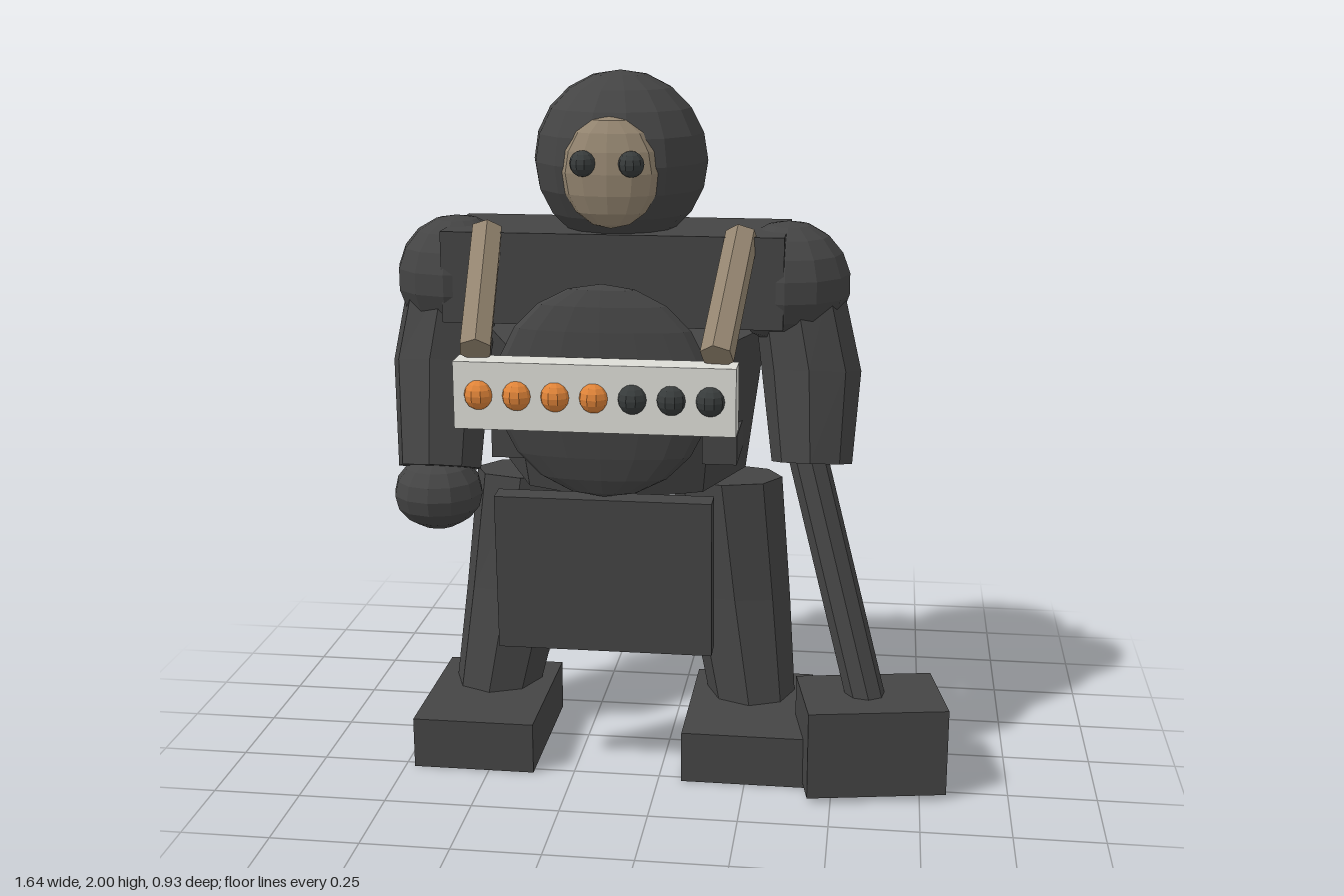
import * as THREE from 'three';

const CX = -0.15; // body symmetry plane

const mat = (name, color) => {
  const m = new THREE.MeshStandardMaterial({ color, flatShading: true });
  m.name = name;
  return m;
};

export function createModel() {
  const model = new THREE.Group();
  const iron = mat('iron grey', 0x444444);
  const dark = mat('dark glass', 0x383c3c);
  const tan = mat('tan leather', 0x948570);
  const pale = mat('pale grey', 0xdcdcd6);
  const orange = mat('orange', 0xe08439);

  const add = (name, geo, material, pos = [0, 0, 0], rot = [0, 0, 0]) => {
    const mesh = new THREE.Mesh(geo, material);
    mesh.name = name;
    mesh.position.set(...pos);
    mesh.rotation.set(...rot);
    model.add(mesh);
    return mesh;
  };
  const box = (name, size, pos, material = iron, rot) =>
    add(name, new THREE.BoxGeometry(...size), material, pos, rot);
  const ball = (name, radii, pos, material = iron, w = 14, h = 10) =>
    add(name, new THREE.SphereGeometry(1, w, h).scale(...radii), material, pos);

  // Straight rod between two points
  const rod = (name, a, b, r, material, sides = 6) => {
    const p = new THREE.Vector3(...a), q = new THREE.Vector3(...b);
    const dir = q.clone().sub(p);
    const mesh = add(name, new THREE.CylinderGeometry(r, r, dir.length(), sides), material);
    mesh.position.copy(p).add(q).multiplyScalar(0.5);
    mesh.quaternion.setFromUnitVectors(new THREE.Vector3(0, 1, 0), dir.normalize());
  };

  // Bent limb through rings [x, y, z, radius, rise toward the front], top to bottom
  const limb = (name, rings) => {
    const n = rings.length - 1;
    const geo = new THREE.CylinderGeometry(1, 1, 1, 8, n);
    const p = geo.attributes.position;
    for (let i = 0; i < p.count; i++) {
      const [x, y, z, r, rise] = rings[Math.round((0.5 - p.getY(i)) * n)];
      const dz = p.getZ(i) * r;
      p.setXYZ(i, x + p.getX(i) * r, y + dz * rise, z + dz);
    }
    geo.computeVertexNormals();
    add(name, geo, iron);
  };

  // Head and face
  ball('head', [0.25, 0.25, 0.25], [CX, 1.75, -0.08], iron, 14, 10);
  ball('face', [0.138, 0.155, 0.07], [CX, 1.735, 0.115], tan, 12, 8);

  // Torso: shoulder block, tapered lower body, round breastplate, hanging apron
  box('shoulderBlock', [0.97, 0.26, 0.36], [CX - 0.005, 1.43, -0.08]);
  add('lowerTorso', new THREE.CylinderGeometry(0.345, 0.295, 0.44, 8).scale(1.22, 1, 1),
    iron, [CX, 1.05, -0.125], [0.09, 0, 0]);
  ball('breastplate', [0.3, 0.3, 0.07], [CX, 1.155, 0.28], iron, 16, 10);
  box('apron', [0.61, 0.455, 0.065], [CX, 0.628, 0.27], iron, [0.045, 0, 0]);

  // Chest bar with a row of lamps
  box('chestBar', [0.76, 0.185, 0.085], [CX, 1.173, 0.392], pale);
  for (let i = 0; i < 7; i++)
    ball('lamp', [0.042, 0.042, 0.042], [CX + (i - 3) * 0.104, 1.175, 0.424],
      i < 4 ? orange : dark, 10, 8);

  // Paired parts
  for (const s of [-1, 1]) {
    const X = (d) => CX + s * d;
    ball('eye', [0.036, 0.036, 0.036], [X(0.067), 1.765, 0.177], dark, 10, 8);
    ball('shoulder', [0.178, 0.178, 0.185], [X(0.483), 1.405, -0.075], iron, 12, 9);
    limb('leg', [
      [X(0.3), 0.79, -0.19, 0.168, 0.1],
      [X(0.345), 0.43, -0.145, 0.155, 0.2],
      [X(0.395), 0.12, -0.07, 0.13, 0.2],
    ]);
    box('foot', [0.355, 0.15, 0.475], [X(0.395), 0.075, 0.037]);
    box('pouch', [0.1, 0.085, 0.4], [X(0.305), 0.95, -0.095]);

    // Harness straps: over the front, over the shoulder, crossing on the back
    rod('frontStrap', [X(0.36), 1.56, 0.07], [X(0.325), 1.29, 0.4], 0.047, tan);
    rod('shoulderStrap', [X(0.35), 1.47, -0.22], [X(0.35), 1.41, -0.375], 0.042, tan);
    rod('backStrap', [X(0.35), 1.42, -0.365], [X(-0.21), 1.04, -0.425], 0.042, tan);
  }

  // Arms
  limb('leftArm', [
    [0.36, 1.4, -0.07, 0.13, 0.1],
    [0.405, 1.16, -0.035, 0.143, 0.2],
    [0.415, 0.905, 0.04, 0.115, 0.25],
  ]);
  limb('rightArm', [
    [-0.645, 1.4, -0.07, 0.135, 0.1],
    [-0.675, 1.16, -0.02, 0.145, 0.25],
    [-0.662, 0.87, 0.1, 0.122, 0.35],
  ]);
  ball('rightHand', [0.13, 0.108, 0.13], [-0.665, 0.8, 0.11], iron, 12, 8);

  // Hammer in place of the left hand
  rod('hammerHandle', [0.4, 0.94, 0.04], [0.6, 0.22, 0.205], 0.056, iron, 8);
  box('hammerHead', [0.396, 0.255, 0.274], [0.605, 0.143, 0.2], iron, [0, 0.18, 0]);

  // Rods hung at the back of the right hip
  rod('hipRod', [-0.53, 0.95, -0.375], [-0.53, 0.44, -0.375], 0.022, iron);
  rod('hipRod', [-0.46, 0.95, -0.42], [-0.46, 0.52, -0.42], 0.022, iron);
  rod('hipRod', [-0.51, 0.9, -0.4], [-0.51, 0.6, -0.4], 0.016, iron);

  return model;
}
